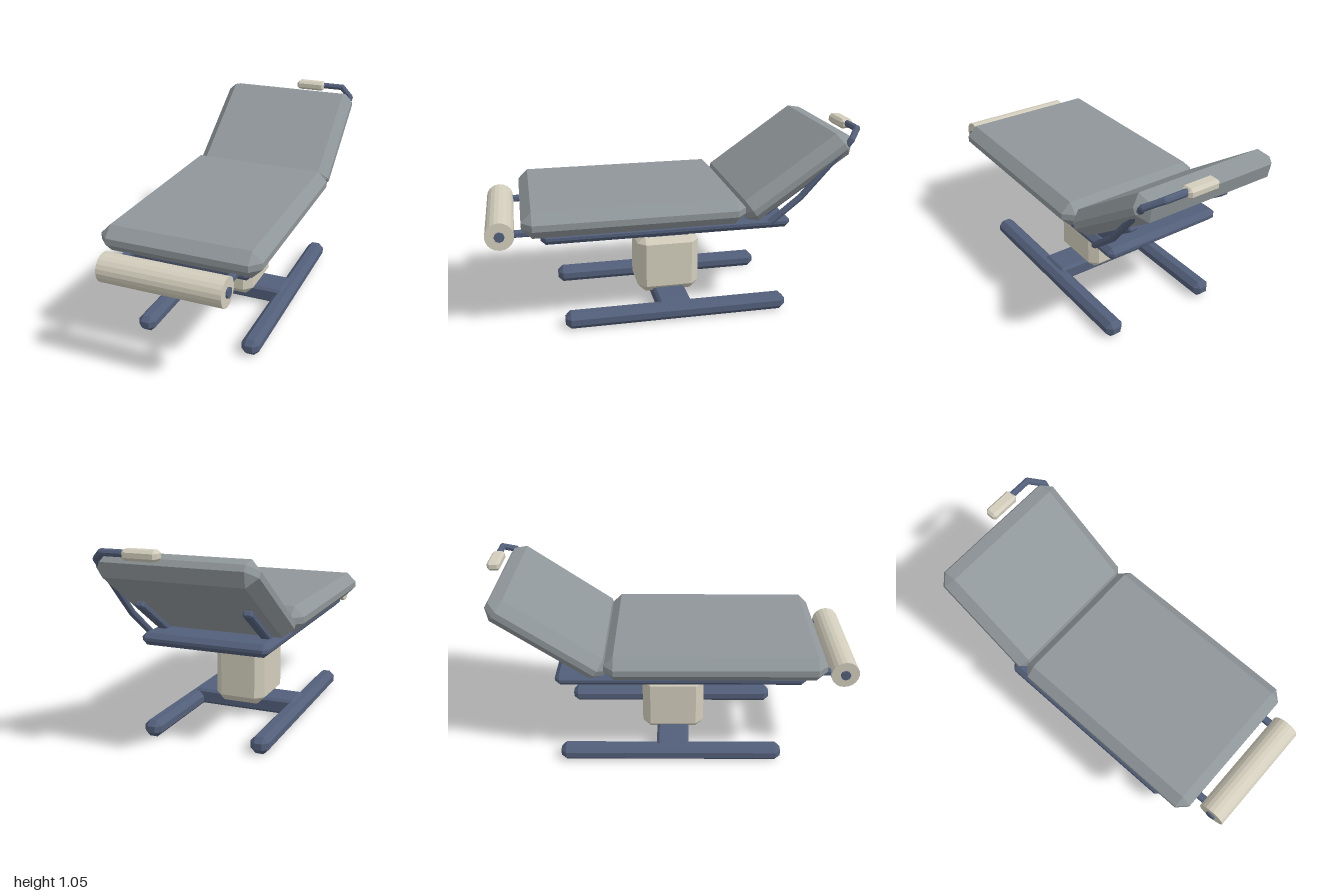
import * as THREE from 'three';
import { ConvexGeometry } from 'three/addons/geometries/ConvexGeometry.js';

const material = (name, color) => {
  const m = new THREE.MeshStandardMaterial({ color, flatShading: true });
  m.name = name;
  return m;
};

// Box with all edges chamfered by c
function chamferBox(w, h, d, c) {
  const points = [];
  for (const sx of [-1, 1]) for (const sy of [-1, 1]) for (const sz of [-1, 1]) {
    const x = w / 2, y = h / 2, z = d / 2;
    points.push(
      new THREE.Vector3(sx * x, sy * (y - c), sz * (z - c)),
      new THREE.Vector3(sx * (x - c), sy * y, sz * (z - c)),
      new THREE.Vector3(sx * (x - c), sy * (y - c), sz * z));
  }
  return new ConvexGeometry(points);
}

export function createModel() {
  const model = new THREE.Group();
  model.name = 'recliningTable';
  const grey = material('greyUpholstery', 0x8f9699);
  const navy = material('navyFrame', 0x535f7a);
  const cream = material('creamCover', 0xd2cdbc);

  const add = (name, geometry, mat, x, y, z, parent = model) => {
    const mesh = new THREE.Mesh(geometry, mat);
    mesh.name = name;
    mesh.position.set(x, y, z);
    parent.add(mesh);
    return mesh;
  };

  // Base: two skids joined by a crossbar
  for (const s of [-1, 1]) {
    add('baseSkid', chamferBox(0.098, 0.09, 1.23, 0.028), navy, s * 0.299, 0.046, 0);
  }
  add('baseCrossbar', chamferBox(0.6, 0.087, 0.18, 0.014), navy, 0, 0.061, 0.012);

  // Lifting column
  add('columnHousing', chamferBox(0.288, 0.342, 0.348, 0.044), cream, 0, 0.247, 0.013);
  add('columnPost', chamferBox(0.218, 0.2, 0.257, 0.012), navy, 0, 0.44, 0.011);

  // Platform and seat cushion
  add('platform', chamferBox(0.69, 0.066, 1.335, 0.025), navy, 0, 0.533, 0.053);
  add('seatCushion', chamferBox(0.85, 0.14, 1.165, 0.053), grey, 0, 0.63, 0.232);

  // Backrest, leaning back, with two struts under it
  const backrest = new THREE.Group();
  backrest.name = 'backrest';
  backrest.position.set(0, 0.789, -0.631);
  backrest.rotation.x = THREE.MathUtils.degToRad(35);
  model.add(backrest);
  add('backCushion', chamferBox(0.82, 0.14, 0.694, 0.053), grey, 0, 0, 0, backrest);
  for (const s of [-1, 1]) {
    add('backStrut', chamferBox(0.05, 0.035, 0.36, 0.008), navy, s * 0.285, -0.085, 0.14, backrest);
  }

  // Foot roll on its axle and two arms
  const rod = (r, length, sides) =>
    new THREE.CylinderGeometry(r, r, length, sides).rotateZ(Math.PI / 2);
  add('footRoll', rod(0.0745, 0.638, 20), cream, 0, 0.561, 0.925);
  add('footRollAxle', rod(0.027, 0.66, 8), navy, 0, 0.561, 0.925);
  for (const s of [-1, 1]) {
    add('footRollArm', chamferBox(0.038, 0.032, 0.25, 0.006), navy, s * 0.28, 0.557, 0.8);
  }

  // Bent side tube leading to the handle
  const path = [
    [0.355, 0.542, -0.49], [0.362, 0.68, -0.655], [0.388, 0.985, -0.905],
    [0.32, 1.027, -0.963], [0.18, 1.027, -0.963],
  ].map((p) => new THREE.Vector3(...p));
  const up = new THREE.Vector3(0, 1, 0);
  path.slice(1).forEach((end, i) => {
    const start = path[i];
    const run = end.clone().sub(start);
    const mid = start.clone().add(end).multiplyScalar(0.5);
    const tube = add('handleTube', new THREE.CylinderGeometry(0.018, 0.018, run.length(), 8),
      navy, mid.x, mid.y, mid.z);
    tube.quaternion.setFromUnitVectors(up, run.normalize());
    if (i < 3) add('handleTubeBend', new THREE.SphereGeometry(0.018, 8, 6), navy, end.x, end.y, end.z);
  });
  add('handleGrip', chamferBox(0.176, 0.052, 0.07, 0.014), cream, 0.118, 1.024, -0.96);

  return model;
}
